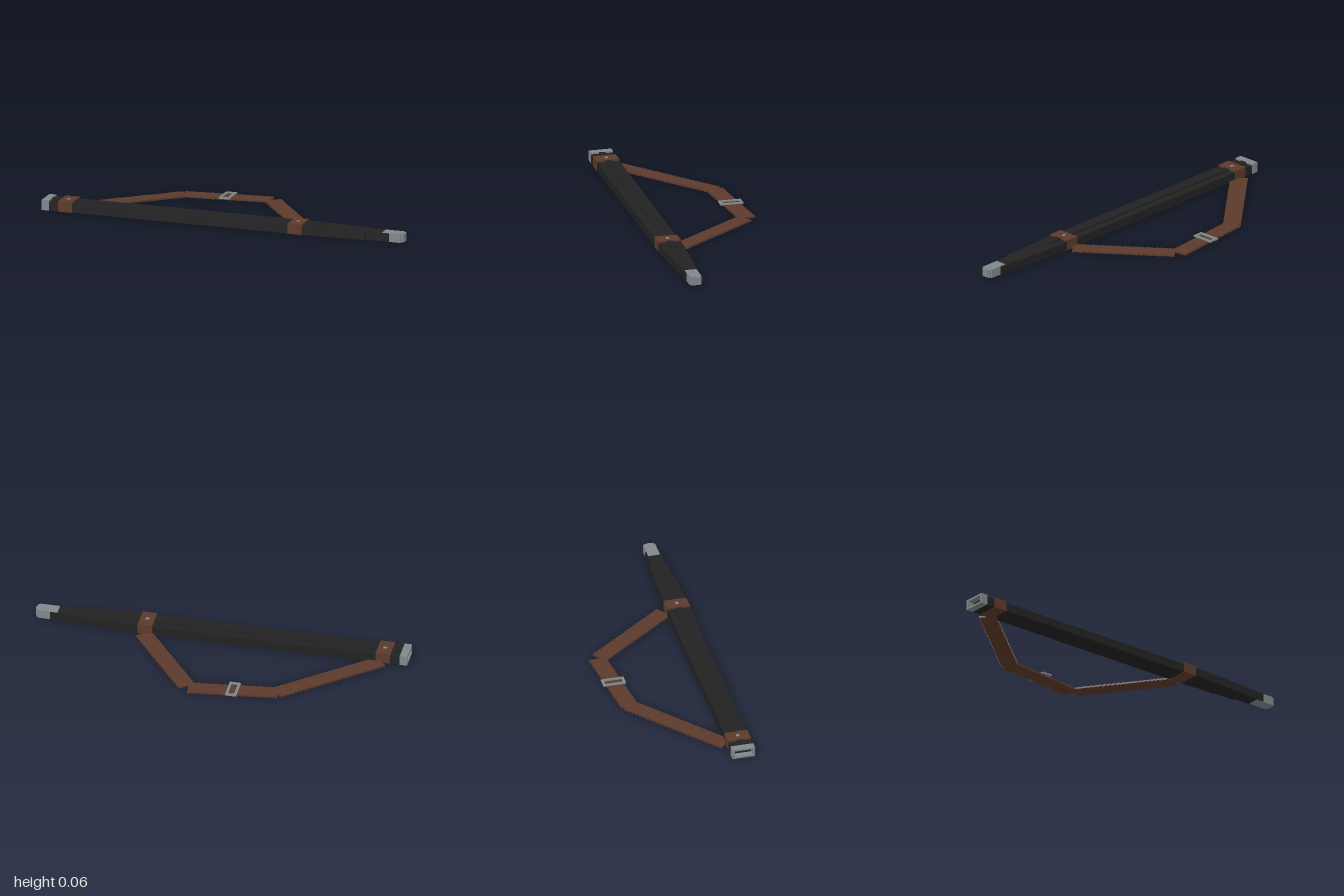
import * as THREE from 'three';

const mat = (name, color, opts = {}) => {
  const m = new THREE.MeshStandardMaterial({ color, ...opts });
  m.name = name;
  return m;
};

export function createModel() {
  const model = new THREE.Group();
  model.name = 'scabbardWithStrap';
  const black = mat('blackLeather', 0x222222);
  const brown = mat('brownLeather', 0x5c3a2b);
  const steel = mat('greySteel', 0x80878a);
  const CZ = 0.25; // depth of the scabbard axis

  const add = (name, geometry, material, parent = model) => {
    const mesh = new THREE.Mesh(geometry, material);
    mesh.name = name;
    parent.add(mesh);
    return mesh;
  };
  // Box given by its limits
  const block = (name, x0, x1, y0, y1, z0, z1, material, parent) => {
    const g = new THREE.BoxGeometry(x1 - x0, y1 - y0, z1 - z0);
    g.translate((x0 + x1) / 2, (y0 + y1) / 2, (z0 + z1) / 2);
    return add(name, g, material, parent);
  };
  // Box centred on the scabbard axis
  const centred = (name, x0, x1, y0, y1, half, material) =>
    block(name, x0, x1, y0, y1, CZ - half, CZ + half, material);

  // Sheath body with raised spine
  centred('sheathBody', -0.965, 0.53, 0.001, 0.047, 0.06, black);
  centred('sheathSpine', -0.96, 0.53, 0.046, 0.055, 0.017, black);

  // Stepped taper toward the tip
  [[0.53, 0.66, 0.055], [0.66, 0.79, 0.0475], [0.79, 0.92, 0.0375]].forEach(([x0, x1, half]) =>
    centred('sheathTaper', x0, x1, 0.001, 0.046, half, black));

  // Metal tip with stepped, rounded end
  centred('tipCap', 0.88, 0.985, 0, 0.047, 0.032, steel);
  centred('tipEnd', 0.985, 0.995, 0.001, 0.046, 0.026, steel);
  centred('tipPoint', 0.995, 1, 0.002, 0.045, 0.014, steel);

  // Hollow metal throat at the mouth
  const throat = new THREE.Group();
  throat.name = 'throat';
  model.add(throat);
  block('throatBottom', -1, -0.96, 0, 0.01, CZ - 0.061, CZ + 0.061, steel, throat);
  block('throatTop', -1, -0.96, 0.045, 0.055, CZ - 0.061, CZ + 0.061, steel, throat);
  for (const s of [-1, 1]) {
    const a = CZ + s * 0.049, b = CZ + s * 0.061;
    block('throatSide', -1, -0.96, 0.01, 0.045, Math.min(a, b), Math.max(a, b), steel, throat);
  }

  // Leather bands with rivets
  for (const x of [-0.87, 0.405]) {
    centred('band', x - 0.039, x + 0.039, 0, 0.0555, 0.0615, brown);
    block('rivet', x - 0.01, x + 0.01, 0.05, 0.057, CZ - 0.008, CZ + 0.008, steel);
  }

  // Flat strap piece with notched edges, from one plan point to another
  const strap = (name, [x0, z0], [x1, z1]) => {
    const dx = x1 - x0, dz = z1 - z0, len = Math.hypot(dx, dz);
    const n = 2 * Math.round(len / 0.024) + 1, step = len / n;
    const upper = [], lower = [];
    for (let i = 0; i < n; i++) {
      const w = i % 2 ? 0.042 : 0.047;
      for (const t of [i * step, (i + 1) * step]) {
        upper.push(new THREE.Vector2(t, w));
        lower.unshift(new THREE.Vector2(t, -w));
      }
    }
    const g = new THREE.ExtrudeGeometry(new THREE.Shape([...lower.reverse(), ...upper.reverse()]),
      { depth: 0.009, bevelEnabled: false });
    g.rotateX(-Math.PI / 2);
    const mesh = add(name, g, brown);
    mesh.position.set(x0, 0, z0);
    mesh.rotation.y = Math.atan2(-dz, dx);
  };
  strap('strapRear', [-0.86, 0.19], [-0.386, -0.211]);
  strap('strapMiddle', [-0.395, -0.21], [0.075, -0.265]);
  strap('strapFore', [0.085, -0.25], [0.41, 0.18]);

  // Rectangular buckle frame
  const frame = new THREE.Shape([[-0.03, -0.061], [0.03, -0.061], [0.03, 0.061], [-0.03, 0.061]]
    .map(p => new THREE.Vector2(...p)));
  frame.holes.push(new THREE.Path([[-0.016, -0.047], [-0.016, 0.047], [0.016, 0.047], [0.016, -0.047]]
    .map(p => new THREE.Vector2(...p))));
  const buckle = new THREE.ExtrudeGeometry(frame, { depth: 0.008, bevelEnabled: false });
  buckle.rotateX(-Math.PI / 2);
  add('buckle', buckle, steel).position.set(-0.16, 0.008, -0.238);

  return model;
}
